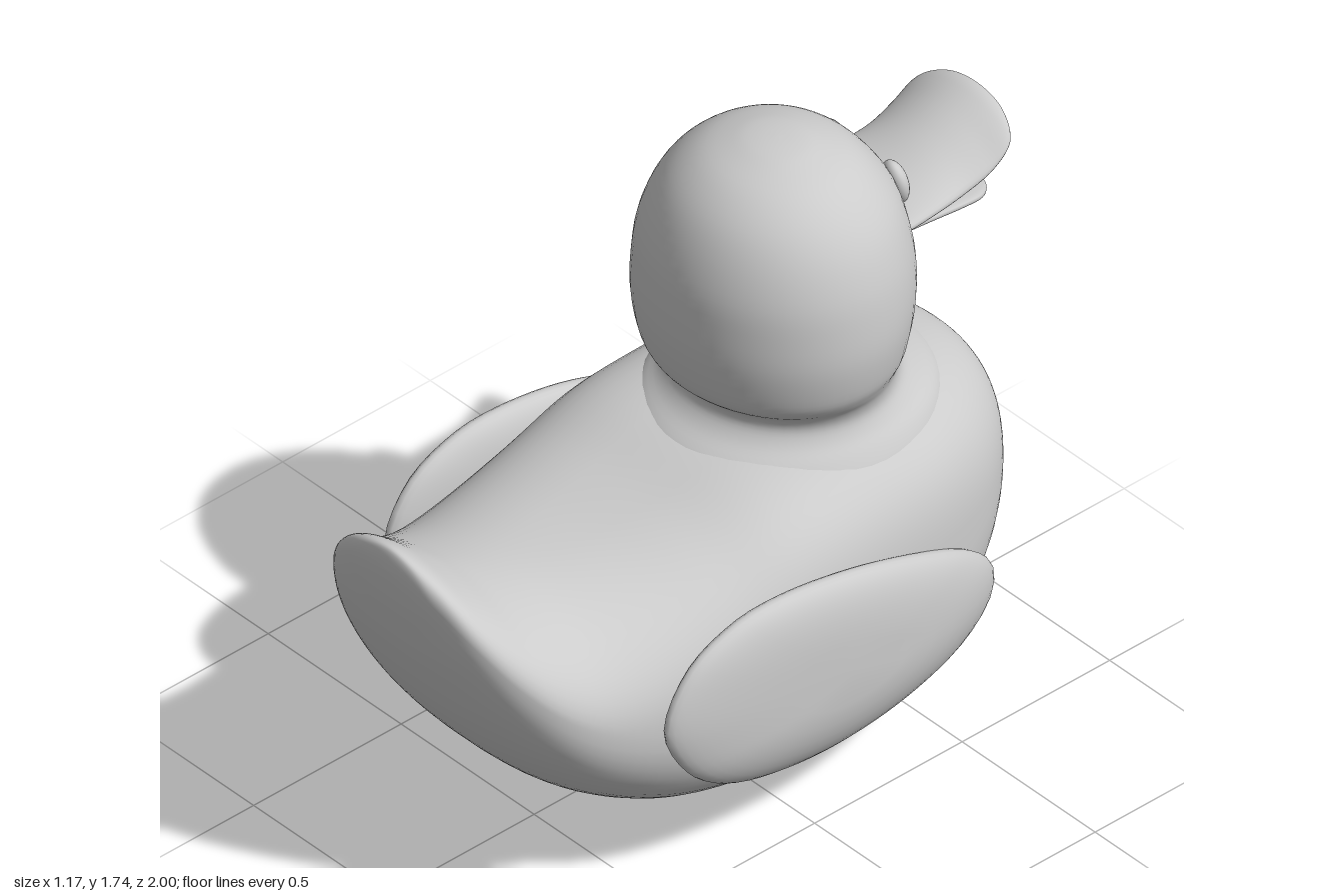
import * as THREE from 'three';
import { mergeVertices } from 'three/addons/utils/BufferGeometryUtils.js';

const material = new THREE.MeshStandardMaterial({ color: 0xcccccc });
const { sin, cos, abs, sign, max, PI } = Math;

// Smooth interpolation through rows of numbers
function refine(rows, steps) {
  const out = [], at = (i) => rows[Math.min(max(i, 0), rows.length - 1)];
  for (let i = 0; i < rows.length - 1; i++) {
    for (let s = 0; s < steps; s++) {
      const t = s / steps;
      out.push(rows[i].map((v, k) => {
        const a = at(i - 1)[k], b = v, c = at(i + 1)[k], d = at(i + 2)[k];
        return 0.5 * (2 * b + (c - a) * t + (2 * a - 5 * b + 4 * c - d) * t * t + (3 * b - a - 3 * c + d) * t ** 3);
      }));
    }
  }
  out.push(rows[rows.length - 1]);
  return out;
}

// Closed skin over rings of [x, y, z] points, always facing outwards
function loft(name, rings) {
  const n = rings[0].length, index = [];
  const pts = rings.flat();
  for (let r = 0; r < rings.length - 1; r++) {
    for (let i = 0; i < n; i++) {
      const a = r * n + i, b = r * n + (i + 1) % n;
      index.push(a, b, a + n, b, b + n, a + n);
    }
  }
  for (const r of [0, rings.length - 1]) {
    for (let i = 1; i < n - 1; i++) {
      index.push(r * n, r * n + (r ? i : i + 1), r * n + (r ? i + 1 : i));
    }
  }
  let volume = 0;
  const c = new THREE.Vector3();
  pts.forEach((p) => c.add(new THREE.Vector3(...p)));
  c.divideScalar(pts.length);
  const v = (i) => new THREE.Vector3(...pts[i]).sub(c);
  for (let i = 0; i < index.length; i += 3) volume += v(index[i]).dot(v(index[i + 1]).cross(v(index[i + 2])));
  if (volume < 0) index.reverse();
  let geometry = new THREE.BufferGeometry();
  geometry.setAttribute('position', new THREE.Float32BufferAttribute(pts.flat(), 3));
  geometry.setIndex(index);
  geometry = mergeVertices(geometry, 1e-5);
  geometry.computeVertexNormals();
  const mesh = new THREE.Mesh(geometry, material);
  mesh.name = name;
  return mesh;
}

const ring = (n, fn) => Array.from({ length: n }, (_, i) => fn(i / n * 2 * PI));
const power = (v, p) => sign(v) * abs(v) ** p;

// Body with upswept tail: z, bottom, top, half width
function createBody() {
  const rows = [
    [-0.92, 0.68, 0.68, 0], [-0.905, 0.57, 0.8, 0.14], [-0.86, 0.45, 0.885, 0.245], [-0.78, 0.315, 0.935, 0.34],
    [-0.65, 0.18, 0.965, 0.42], [-0.45, 0.065, 0.975, 0.48], [-0.2, 0.01, 0.97, 0.5], [0, 0.008, 0.95, 0.505],
    [0.2, 0.04, 0.9, 0.5], [0.4, 0.115, 0.875, 0.488], [0.6, 0.24, 0.885, 0.46], [0.75, 0.385, 0.94, 0.42],
    [0.86, 0.55, 1.015, 0.35], [0.94, 0.74, 1.08, 0.26], [0.98, 0.89, 1.1, 0.165], [0.995, 0.98, 1.08, 0.09],
    [1, 1.04, 1.04, 0],
  ];
  return loft('body', refine(rows, 5).map(([z, lo, hi, w]) => ring(64, (a) => {
    // squarer shoulders at the chest, narrower crest at the tail
    const shoulder = 2.2 + 1.2 * THREE.MathUtils.smoothstep(z, -0.9, -0.4) - 1.6 * THREE.MathUtils.smoothstep(z, -0.1, 0.85);
    const p = 2 / (sin(a) > 0 ? shoulder : 2.3);
    return [w * power(cos(a), p), (lo + hi) / 2 + (hi - lo) / 2 * power(sin(a), p), z];
  })));
}

// Head and flared neck: y, half width, back z, front z
function createHead() {
  const rows = [
    [0.82, 0.4, 0.1, -0.78], [0.89, 0.385, 0.07, -0.77], [0.94, 0.36, 0.03, -0.75], [0.98, 0.332, -0.03, -0.69],
    [1.02, 0.317, -0.06, -0.64],
    [1.06, 0.325, -0.05, -0.615], [1.1, 0.348, -0.005, -0.61], [1.15, 0.37, 0.015, -0.625], [1.25, 0.385, 0.03, -0.645],
    [1.35, 0.381, 0.03, -0.655], [1.45, 0.364, 0.02, -0.645], [1.55, 0.327, -0.012, -0.618], [1.63, 0.272, -0.06, -0.567],
    [1.69, 0.2, -0.13, -0.505], [1.725, 0.115, -0.215, -0.425], [1.737, 0.055, -0.27, -0.375], [1.74, 0, -0.32, -0.32],
  ];
  return loft('head', refine(rows, 4).map(([y, w, back, front]) =>
    ring(56, (a) => [w * cos(a), y, (back + front) / 2 + (back - front) / 2 * sin(a)])));
}

// Flat, round-edged wing following the flank
function createWing(side) {
  const outline = [
    [0.53, 0.58], [0.45, 0.73], [0.3, 0.8], [0.15, 0.81], [-0.1, 0.77], [-0.35, 0.68], [-0.55, 0.57], [-0.65, 0.46],
    [-0.645, 0.37], [-0.55, 0.28], [-0.35, 0.22], [-0.1, 0.2], [0.1, 0.22], [0.3, 0.29], [0.45, 0.41],
  ].map(([z, y]) => new THREE.Vector3(0, y, z));
  const points = new THREE.CatmullRomCurve3(outline, true).getSpacedPoints(64).slice(0, 64);
  const rings = [];
  for (let i = 0; i <= 20; i++) {
    const a = (i / 20 - 0.5) * PI, r = i % 20 ? cos(a) ** 0.6 : 0;
    rings.push(points.map((p) => {
      const z = -0.05 + (p.z + 0.05) * r, y = 0.51 + (p.y - 0.51) * r;
      const x = 0.525 - 0.19 * max(0, -z) ** 2 - 0.9 * max(0, 0.45 - y) ** 2 + 0.062 * sin(a);
      return [side * x, y, z];
    }));
  }
  return loft(side > 0 ? 'leftWing' : 'rightWing', rings);
}

// Beak half: z, centre y, side y, half width, half thickness
function createBill(name, rows) {
  return loft(name, refine(rows, 5).map(([z, mid, edge, w, t]) => ring(40, (a) => {
    const u = cos(a);
    return [w * u, mid + (edge - mid) * u * u + t * power(sin(a), 0.6), z];
  })));
}

export function createModel() {
  const model = new THREE.Group();
  model.name = 'duck';
  model.add(createBody(), createHead());
  model.add(createBill('upperBeak', [
    [-0.58, 1.4, 1.4, 0.19, 0.02], [-0.7, 1.435, 1.407, 0.188, 0.021], [-0.8, 1.473, 1.417, 0.184, 0.022],
    [-0.88, 1.507, 1.442, 0.187, 0.022], [-0.94, 1.532, 1.48, 0.183, 0.022], [-0.97, 1.542, 1.505, 0.16, 0.022],
    [-0.99, 1.545, 1.53, 0.11, 0.02], [-0.998, 1.546, 1.54, 0.06, 0.014], [-1, 1.547, 1.547, 0, 0],
  ]));
  model.add(createBill('lowerBeak', [
    [-0.58, 1.372, 1.385, 0.17, 0.016], [-0.7, 1.362, 1.375, 0.172, 0.018], [-0.8, 1.347, 1.362, 0.17, 0.019],
    [-0.88, 1.332, 1.345, 0.155, 0.019], [-0.93, 1.321, 1.33, 0.115, 0.018], [-0.945, 1.319, 1.322, 0.07, 0.016],
    [-0.95, 1.318, 1.318, 0, 0],
  ]));
  for (const side of [1, -1]) {
    model.add(createWing(side));
    // Oval eye set into the face
    const eye = new THREE.Mesh(new THREE.SphereGeometry(1, 28, 20), material);
    eye.name = side > 0 ? 'leftEye' : 'rightEye';
    eye.scale.set(0.048, 0.066, 0.03);
    eye.position.set(side * 0.118, 1.508, -0.618);
    eye.rotation.set(0.2, side * -0.2, 0);
    model.add(eye);
  }
  return model;
}
